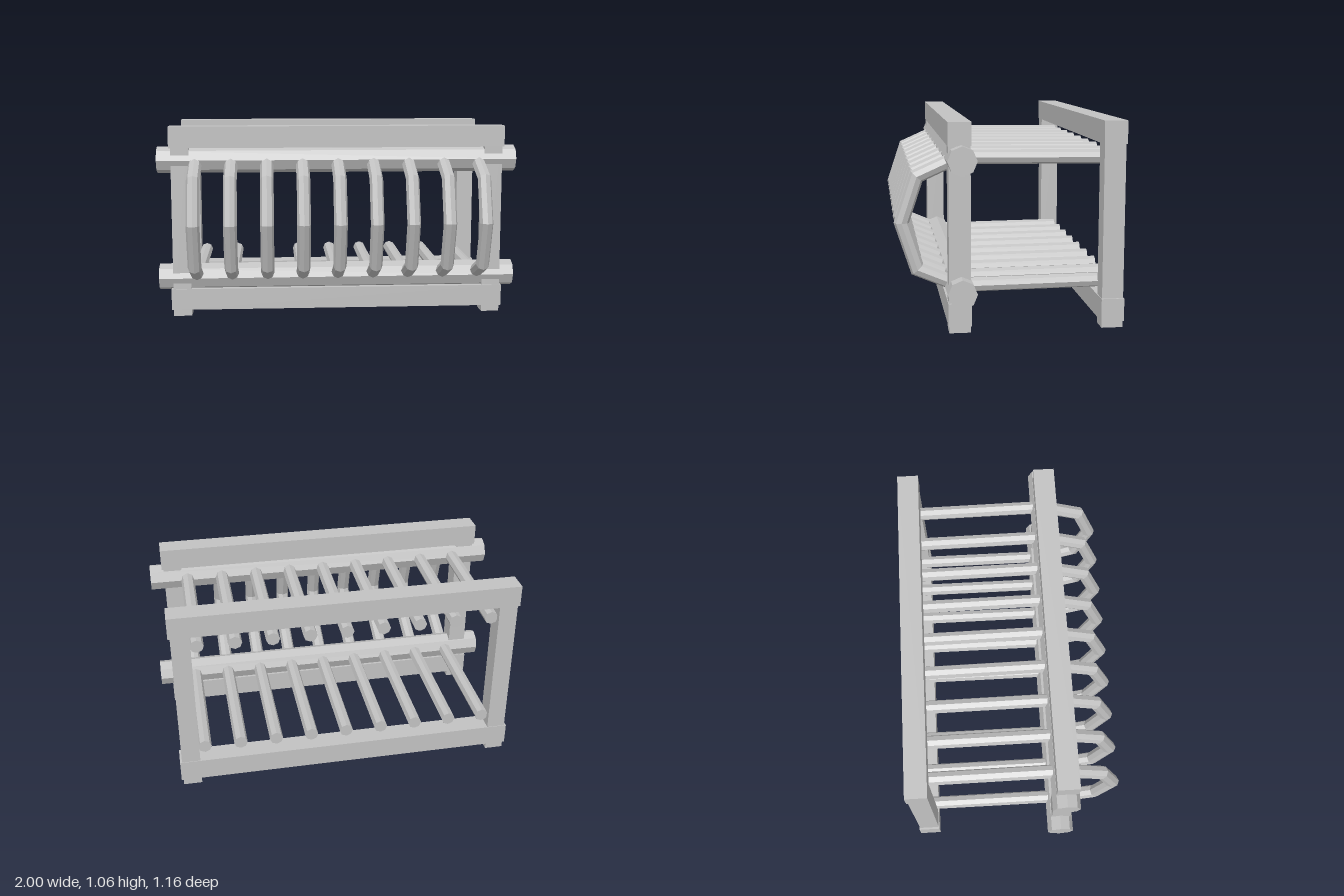
import * as THREE from 'three';

const SIDES = 8;

// Faceted bar along a path of [z, y] points, with mitred corners and closed ends
function barGeometry(path, radius) {
  const points = path.map(([z, y]) => new THREE.Vector3(0, y, z));
  const dirs = points.slice(1).map((p, i) => p.clone().sub(points[i]).normalize());
  const rings = points.map((p, i) => {
    const before = dirs[Math.max(i - 1, 0)];
    const after = dirs[Math.min(i, dirs.length - 1)];
    const t = before.clone().add(after).normalize();
    const reach = radius / t.dot(after);
    return Array.from({ length: SIDES }, (_, j) => {
      const a = (j / SIDES) * Math.PI * 2;
      const s = Math.sin(a) * reach;
      return new THREE.Vector3(Math.cos(a) * radius, p.y + t.z * s, p.z - t.y * s);
    });
  });
  const tris = [];
  const last = rings.length - 1;
  for (let j = 0; j < SIDES; j++) {
    const k = (j + 1) % SIDES;
    for (let i = 0; i < last; i++) {
      const a = rings[i][j], b = rings[i][k], c = rings[i + 1][k], d = rings[i + 1][j];
      tris.push(a, b, c, a, c, d);
    }
    tris.push(points[0], rings[0][k], rings[0][j]);
    tris.push(points[last], rings[last][j], rings[last][k]);
  }
  const geometry = new THREE.BufferGeometry().setFromPoints(tris);
  geometry.computeVertexNormals();
  return geometry;
}

export function createModel() {
  const model = new THREE.Group();
  model.name = 'rack';
  const grey = new THREE.MeshStandardMaterial({ color: 0xc2c2c2, flatShading: true });
  grey.name = 'grey';

  const add = (parent, name, geometry, x, y, z) => {
    const mesh = new THREE.Mesh(geometry, grey);
    mesh.name = name;
    mesh.position.set(x, y, z);
    parent.add(mesh);
    return mesh;
  };

  // Front and back frames: two posts and two beams each
  const post = new THREE.BoxGeometry(0.1, 1.05, 0.11);
  const beam = new THREE.BoxGeometry(1.866, 0.118, 0.118);
  for (const [name, z] of [['frontFrame', 0.262], ['backFrame', -0.518]]) {
    const frame = new THREE.Group();
    frame.name = name;
    add(frame, 'leftPost', post, 0.872, 0.525, z);
    add(frame, 'rightPost', post, -0.872, 0.525, z);
    add(frame, 'topBeam', beam, 0, 1.001, z);
    add(frame, 'bottomBeam', beam, 0, 0.094, z);
    model.add(frame);
  }

  // Octagonal poles running through the front frame
  const pole = new THREE.CylinderGeometry(0.074, 0.074, 2, SIDES);
  pole.rotateZ(Math.PI / 2);
  add(model, 'upperPole', pole, 0, 0.874, 0.255);
  add(model, 'lowerPole', pole, 0, 0.215, 0.255);

  // Bent bars: back to front, around the bulge, and back again
  const bar = barGeometry([
    [-0.545, 0.866], [0.255, 0.875], [0.467, 0.78], [0.545, 0.545],
    [0.467, 0.305], [0.255, 0.215], [-0.545, 0.223],
  ], 0.037);
  for (let i = 0; i < 9; i++) {
    add(model, `bentBar${i + 1}`, bar, (i - 4) * 0.1975, 0, 0);
  }

  return model;
}
